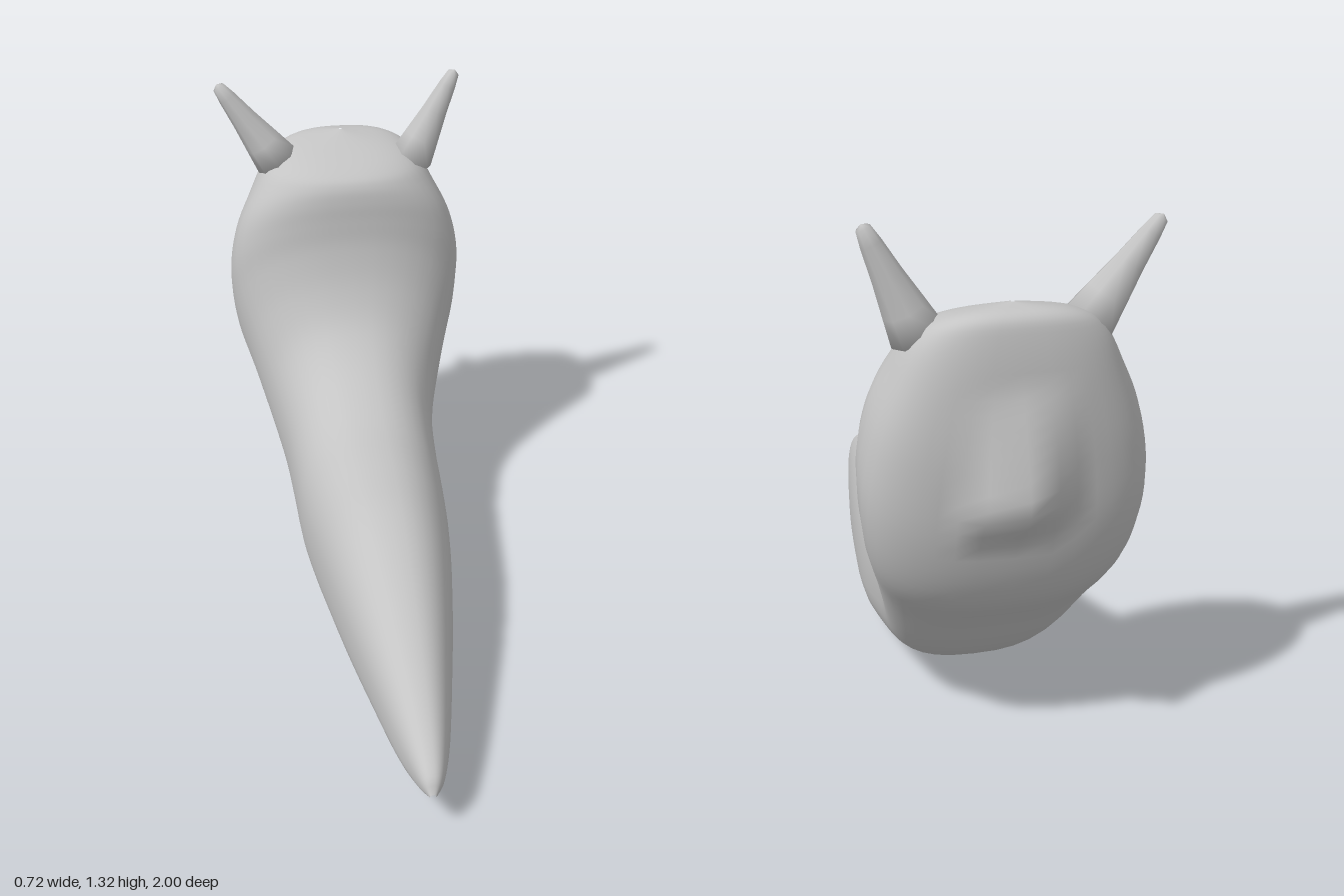
import * as THREE from 'three';

// Cross-sections from tail tip to crown:
// [upper z, upper y, lower z, lower y, half width]
const SECTIONS = [
  [1.0, 0.115, 1.0, 0.105, 0.008],
  [0.96, 0.165, 0.94, 0.085, 0.035],
  [0.8, 0.235, 0.82, 0.055, 0.07],
  [0.6, 0.305, 0.6, 0.035, 0.11],
  [0.4, 0.37, 0.4, 0.02, 0.145],
  [0.2, 0.42, 0.2, 0.01, 0.175],
  [0.0, 0.44, 0.02, 0.0, 0.197],
  [-0.18, 0.46, -0.12, 0.005, 0.21],
  [-0.3, 0.495, -0.28, 0.03, 0.215],
  [-0.41, 0.55, -0.46, 0.075, 0.225],
  [-0.5, 0.63, -0.59, 0.15, 0.25],
  [-0.555, 0.73, -0.72, 0.285, 0.293],
  [-0.585, 0.84, -0.83, 0.4, 0.333],
  [-0.593, 0.92, -0.89, 0.56, 0.347],
  [-0.596, 0.98, -0.915, 0.75, 0.325],
  [-0.605, 1.025, -0.92, 0.93, 0.275],
  [-0.63, 1.055, -0.91, 1.06, 0.225],
  [-0.7, 1.09, -0.89, 1.115, 0.15],
  [-0.82, 1.131, -0.83, 1.131, 0.004],
];

const clamp01 = (v) => THREE.MathUtils.clamp(v, 0, 1);
const power = (v, e) => Math.sign(v) * Math.abs(v) ** e;

// Smooth loft through the cross-sections, flatter on the sole than on the back
function bodyGeometry(rings = 90, sides = 40) {
  const upper = new THREE.CatmullRomCurve3(
    SECTIONS.map(([z, y, , , w]) => new THREE.Vector3(w, y, z)), false, 'catmullrom', 0.5);
  const lower = new THREE.CatmullRomCurve3(
    SECTIONS.map(([, , z, y]) => new THREE.Vector3(0, y, z)), false, 'catmullrom', 0.5);
  const positions = [];
  const index = [];
  for (let i = 0; i <= rings; i++) {
    const t = i / rings;
    const a = upper.getPoint(t);
    const b = lower.getPoint(t);
    const w = Math.max(a.x, 0.002);
    const centre = 0.015 * clamp01(t * 3);
    for (let j = 0; j < sides; j++) {
      const angle = (j / sides) * Math.PI * 2;
      const s = Math.sin(angle);
      const e = s < 0 ? 0.74 : 0.88;
      const x = centre + w * power(Math.cos(angle), e);
      // the widest line sits a little below the middle
      const u = -0.12 + (s < 0 ? 0.88 : 1.12) * power(s, e);
      const k = (u + 1) / 2;
      const y = Math.max(0, b.y + (a.y - b.y) * k);
      let z = b.z + (a.z - b.z) * k;
      // pointed snout on the raised end
      if (z < -0.75) {
        const across = clamp01(1 - Math.abs(x - centre) / 0.14);
        const along = clamp01(y > 0.67 ? 1 - (y - 0.67) / 0.28 : 1 - (0.67 - y) / 0.1);
        z = Math.max(-1, z - 0.105 * across * along);
      }
      positions.push(x, y, z);
      if (i < rings) {
        const p = i * sides + j;
        const q = i * sides + ((j + 1) % sides);
        index.push(p, p + sides, q, q, p + sides, q + sides);
      }
    }
  }
  const geometry = new THREE.BufferGeometry();
  geometry.setAttribute('position', new THREE.Float32BufferAttribute(positions, 3));
  geometry.setIndex(index);
  geometry.computeVertexNormals();
  return geometry;
}

// Tapering feeler set between a base and a tip point
function makeFeeler(name, base, tip, material) {
  const profile = [
    [0, -0.05], [0.066, 0], [0.054, 0.07], [0.038, 0.16], [0.026, 0.245], [0.018, 0.285], [0, 0.295],
  ].map(([r, y]) => new THREE.Vector2(r, y));
  const mesh = new THREE.Mesh(new THREE.LatheGeometry(profile, 8), material);
  mesh.name = name;
  mesh.position.copy(base);
  const axis = tip.clone().sub(base).normalize();
  mesh.quaternion.setFromUnitVectors(new THREE.Vector3(0, 1, 0), axis);
  return mesh;
}

export function createModel() {
  const skin = new THREE.MeshStandardMaterial({ color: 0xc4c4c4 });
  skin.name = 'grey skin';

  const group = new THREE.Group();
  group.name = 'slug';

  const body = new THREE.Mesh(bodyGeometry(), skin);
  body.name = 'body';
  group.add(body);

  group.add(
    makeFeeler('leftFeeler', new THREE.Vector3(0.222, 1.05, -0.77), new THREE.Vector3(0.352, 1.32, -0.775), skin),
    makeFeeler('rightFeeler', new THREE.Vector3(-0.182, 1.06, -0.78), new THREE.Vector3(-0.355, 1.305, -0.785), skin),
  );
  return group;
}
